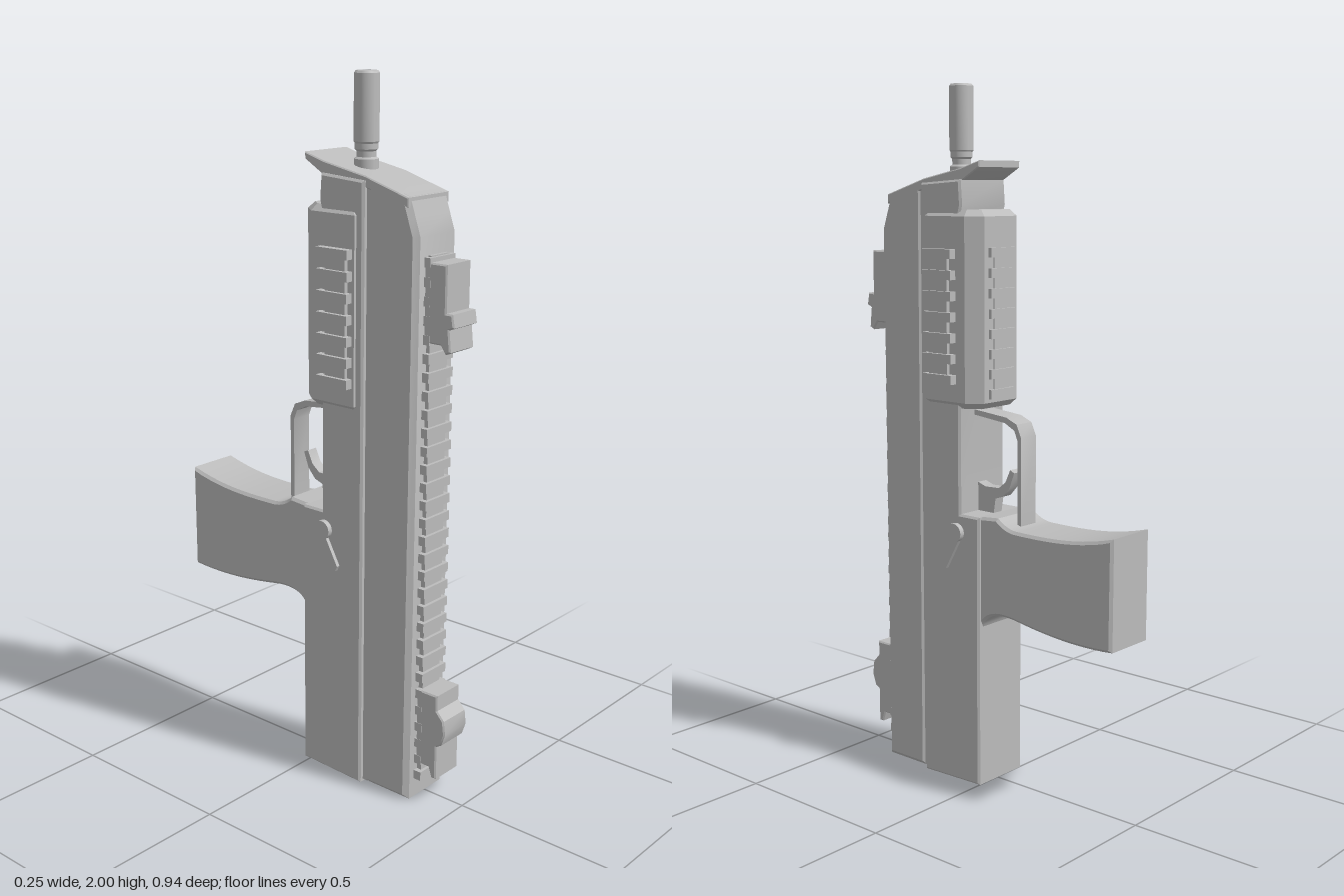
import * as THREE from 'three';
import { toCreasedNormals } from 'three/addons/utils/BufferGeometryUtils.js';

const grey = new THREE.MeshStandardMaterial({ color: 0xbcbcbc });
grey.name = 'grey';

export function createModel() {
  const root = new THREE.Group();

  function add(name, geometry, x = 0, y = 0, z = 0, parent = root) {
    const mesh = new THREE.Mesh(geometry, grey);
    mesh.name = name;
    mesh.position.set(x, y, z);
    parent.add(mesh);
    return mesh;
  }
  function box(name, w, h, d, x, y, z, parent) {
    return add(name, new THREE.BoxGeometry(w, h, d), x, y, z, parent);
  }
  function extrude(shape, width, bevel) {
    const g = new THREE.ExtrudeGeometry(shape, {
      depth: width - 2 * bevel, bevelEnabled: bevel > 0, bevelSize: bevel, bevelThickness: bevel,
      bevelOffset: -bevel, bevelSegments: 1, curveSegments: 10,
    });
    return g.translate(0, 0, -(width - 2 * bevel) / 2);
  }
  // Side profile in (z, y), centred across x
  function side(shape, width, bevel = 0) {
    const s = Array.isArray(shape) ? new THREE.Shape(shape.map(p => new THREE.Vector2(...p))) : shape;
    return toCreasedNormals(extrude(s, width, bevel).rotateY(-Math.PI / 2), 0.5);
  }
  // Plan section in (x, z), centred along y
  function plan(points, height, bevel = 0) {
    const s = new THREE.Shape(points.map(([x, z]) => new THREE.Vector2(x, -z)));
    return extrude(s, height, bevel).rotateX(-Math.PI / 2);
  }

  // Main housing: front half, joint strip and back half
  add('frontHousing', side([[0.367, 0.005], [0.372, 1.6], [0.355, 1.65], [0.338, 1.7],
    [0.209, 1.735], [0.209, 0.005]], 0.172, 0.014));
  box('housingJoint', 0.16, 1.7, 0.03, 0, 0.86, 0.207);
  add('backHousing', side([[0.203, 0.003], [0.203, 1.73], [0.055, 1.74], [0.05, 1.67], [0.058, 1.64],
    [0.058, 0.805], [-0.012, 0.805], [-0.012, 0.01]], 0.19, 0.006));

  // Sloping end cap with an overhanging lip
  add('endCap', side([[0.342, 1.672], [0.342, 1.698], [0.2, 1.742], [0.06, 1.77], [-0.008, 1.79],
    [-0.008, 1.772], [0.05, 1.738], [0.2, 1.712]], 0.172, 0.003));

  // Barrel with a hollow muzzle
  const barrelProfile = [[0, 1.72], [0.033, 1.72], [0.033, 1.775], [0.026, 1.78], [0.026, 1.795],
    [0.031, 1.8], [0.031, 1.815], [0.034, 1.82], [0.034, 1.994], [0.029, 2], [0.016, 2],
    [0.016, 1.95], [0, 1.95]].map(p => new THREE.Vector2(...p));
  add('barrel', toCreasedNormals(new THREE.LatheGeometry(barrelProfile, 24), 0.5), 0, 0, 0.133);

  // Handguard with chamfered back edges
  add('handguard', plan([[-0.103, 0.18], [0.103, 0.18], [0.103, 0.03], [0.068, -0.012],
    [-0.068, -0.012], [-0.103, 0.03]], 0.55, 0.018), 0, 1.383, 0);
  for (const s of [-1, 1]) {
    const rail = new THREE.Group();
    rail.name = s > 0 ? 'leftRail' : 'rightRail';
    root.add(rail);
    box('railBase', 0.02, 0.37, 0.07, s * 0.104, 1.365, 0.122, rail);
    for (let i = 0; i < 7; i++) {
      box('railRidge', 0.03, 0.026, 0.108, s * 0.11, 1.19 + i * 0.058, 0.118, rail);
    }
  }
  const backRail = new THREE.Group();
  backRail.name = 'backRail';
  root.add(backRail);
  box('railBase', 0.06, 0.41, 0.01, 0, 1.345, -0.011, backRail);
  for (let i = 0; i < 8; i++) box('railRidge', 0.1, 0.026, 0.02, 0, 1.15 + i * 0.056, -0.012, backRail);

  // Long toothed rail down the front
  const frontRail = new THREE.Group();
  frontRail.name = 'frontRail';
  root.add(frontRail);
  box('railBase', 0.076, 1.49, 0.016, 0, 0.805, 0.374, frontRail);
  for (let i = 0; i < 30; i++) {
    box('railTooth', 0.106, 0.026, 0.026, 0, 0.075 + i * 0.0503, 0.378, frontRail);
  }

  // Folded sights on the rail
  add('upperSight', side([[0.372, 1.535], [0.442, 1.535], [0.442, 1.41], [0.462, 1.41], [0.468, 1.375],
    [0.452, 1.368], [0.458, 1.31], [0.442, 1.302], [0.426, 1.325], [0.372, 1.325]], 0.104, 0.004));
  add('lowerSight', side([[0.372, 0.34], [0.442, 0.34], [0.442, 0.295], [0.465, 0.27], [0.47, 0.23],
    [0.458, 0.195], [0.442, 0.185], [0.442, 0.085], [0.426, 0.085], [0.416, 0.115], [0.372, 0.115]],
  0.104, 0.004));

  // Curved grip
  const gripShape = new THREE.Shape();
  gripShape.moveTo(0.02, 0.803);
  gripShape.lineTo(-0.07, 0.81);
  gripShape.quadraticCurveTo(-0.1, 0.783, -0.14, 0.782);
  gripShape.bezierCurveTo(-0.25, 0.78, -0.35, 0.78, -0.47, 0.815);
  gripShape.lineTo(-0.47, 0.505);
  gripShape.bezierCurveTo(-0.36, 0.495, -0.25, 0.505, -0.14, 0.525);
  gripShape.quadraticCurveTo(-0.03, 0.545, -0.01, 0.48);
  gripShape.lineTo(0.02, 0.48);
  add('grip', side(gripShape, 0.168, 0.008));

  // Trigger and its guard
  add('triggerGuard', side([[0.065, 1.1], [-0.06, 1.088], [-0.098, 1.072], [-0.115, 1.035], [-0.115, 0.78],
    [-0.102, 0.78], [-0.102, 1.025], [-0.09, 1.054], [-0.055, 1.072], [0.065, 1.085]], 0.064));
  add('trigger', side([[0.065, 0.89], [0.03, 0.878], [-0.02, 0.88], [-0.045, 0.9], [-0.062, 0.937],
    [-0.077, 0.93], [-0.06, 0.885], [-0.035, 0.857], [-0.008, 0.848], [0, 0.8], [0.065, 0.8]], 0.034));

  // Selector lever on each side
  for (const s of [-1, 1]) {
    const selector = new THREE.Group();
    selector.name = s > 0 ? 'leftSelector' : 'rightSelector';
    root.add(selector);
    add('selectorPivot', new THREE.CylinderGeometry(0.027, 0.027, 0.02, 20).rotateZ(Math.PI / 2),
      s * 0.1, 0.752, 0.07, selector);
    add('selectorLever', side([[0.078, 0.74], [0.055, 0.73], [0.104, 0.642], [0.118, 0.64], [0.125, 0.655]],
      0.016), s * 0.098, 0, 0, selector);
  }

  return root;
}
